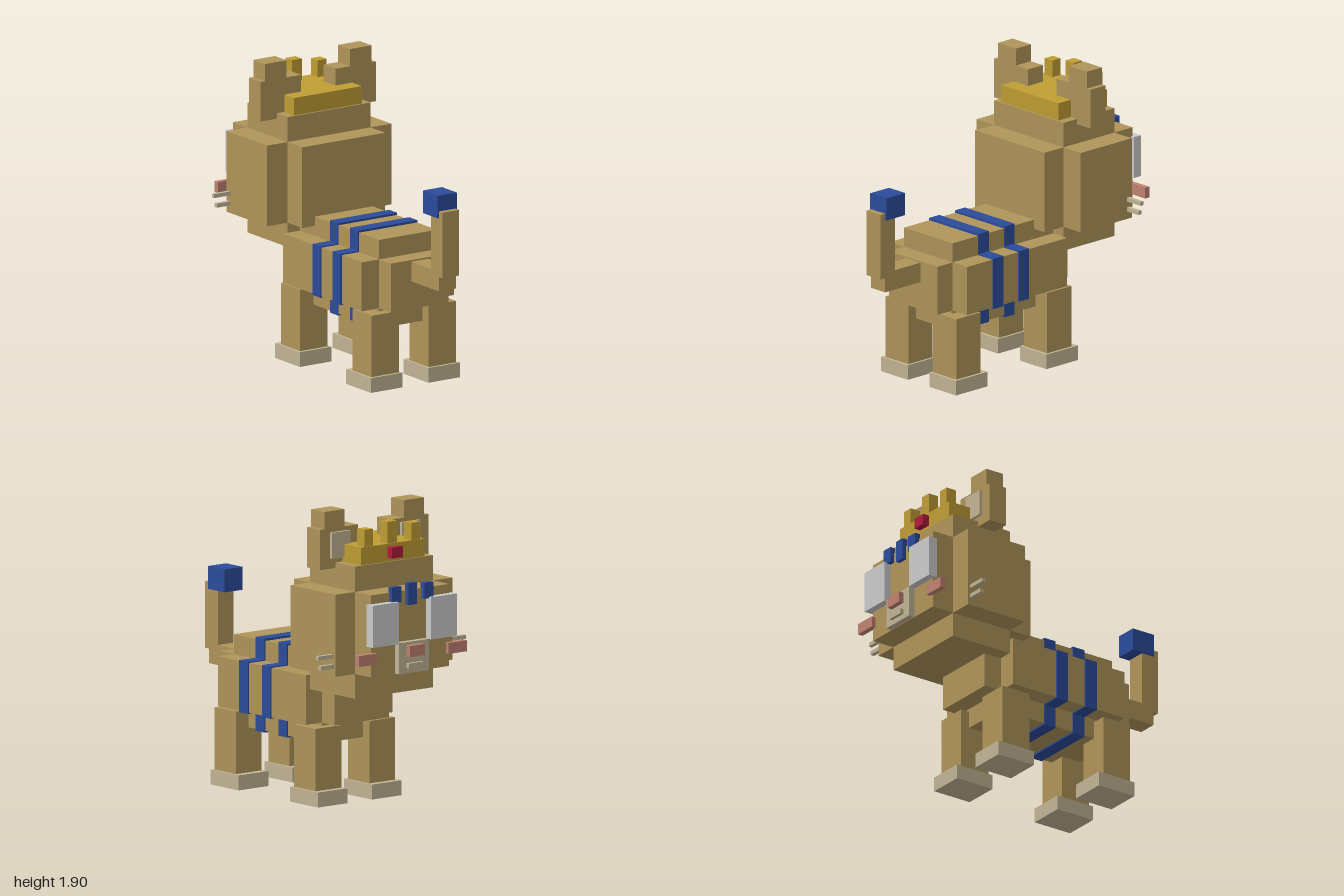
import * as THREE from 'three';

const mat = (name, color) => {
  const m = new THREE.MeshStandardMaterial({ color });
  m.name = name;
  return m;
};

export function createModel() {
  const tan = mat('tan fur', 0xb0955a);
  const beige = mat('beige', 0xc2b596);
  const blue = mat('blue', 0x2b4b9b);
  const gold = mat('gold', 0xc09e34);
  const white = mat('eye white', 0xcccccc);
  const pink = mat('pink', 0xc08272);
  const red = mat('gem red', 0xb01c3c);

  const model = new THREE.Group();
  model.name = 'blockCat';

  // Box given by its [min, max] range on each axis
  const box = (name, material, [x0, x1], [y0, y1], [z0, z1]) => {
    const mesh = new THREE.Mesh(new THREE.BoxGeometry(x1 - x0, y1 - y0, z1 - z0), material);
    mesh.position.set((x0 + x1) / 2, (y0 + y1) / 2, (z0 + z1) / 2);
    mesh.name = name;
    model.add(mesh);
  };
  // Box centred on x = 0
  const mid = (name, material, half, y, z) => box(name, material, [-half, half], y, z);
  // Mirrored pair of boxes
  const pair = (name, material, [x0, x1], y, z) => {
    box(name + 'Left', material, [x0, x1], y, z);
    box(name + 'Right', material, [-x1, -x0], y, z);
  };

  // Body: three crossed blocks
  mid('bodyWide', tan, 0.35, [0.51, 0.825], [-0.33, 0.53]);
  mid('bodyTall', tan, 0.22, [0.38, 0.95], [-0.33, 0.53]);
  mid('bodyLong', tan, 0.22, [0.51, 0.825], [-0.455, 0.66]);

  // Stripes wrapping the body
  for (const z of [[0.003, 0.09], [0.223, 0.312]]) {
    mid('stripeWide', blue, 0.358, [0.503, 0.832], z);
    mid('stripeTall', blue, 0.225, [0.369, 0.964], z);
  }

  // Legs and paws
  pair('frontLeg', tan, [0.113, 0.322], [0.09, 0.49], [-0.392, -0.183]);
  pair('backLeg', tan, [0.113, 0.322], [0.09, 0.49], [0.388, 0.595]);
  pair('frontPaw', beige, [0.098, 0.339], [0, 0.095], [-0.435, -0.162]);
  pair('backPaw', beige, [0.098, 0.339], [0, 0.095], [0.341, 0.614]);

  // Tail
  mid('tailBase', tan, 0.064, [0.688, 0.815], [0.6, 0.962]);
  mid('tailUpright', tan, 0.063, [0.78, 1.203], [0.876, 1]);
  mid('tailTuft', blue, 0.073, [1.16, 1.305], [0.798, 0.96]);

  // Head: three crossed blocks
  mid('headTall', tan, 0.315, [0.733, 1.57], [-0.768, -0.33]);
  mid('headWide', tan, 0.473, [0.89, 1.41], [-0.768, -0.33]);
  mid('headLong', tan, 0.315, [0.89, 1.41], [-0.925, -0.17]);

  // Ears
  pair('ear', tan, [0.13, 0.438], [1.535, 1.79], [-0.576, -0.448]);
  pair('earTip', tan, [0.24, 0.404], [1.79, 1.9], [-0.576, -0.448]);
  pair('innerEar', beige, [0.21, 0.357], [1.6, 1.765], [-0.596, -0.57]);

  // Crown
  mid('crownBase', gold, 0.258, [1.57, 1.682], [-0.758, -0.342]);
  mid('crownSpike', gold, 0.037, [1.68, 1.82], [-0.752, -0.68]);
  pair('crownSideSpike', gold, [0.155, 0.225], [1.68, 1.79], [-0.752, -0.68]);
  mid('crownGem', red, 0.045, [1.594, 1.663], [-0.802, -0.752]);

  // Face
  pair('eye', white, [0.13, 0.34], [1.086, 1.353], [-0.973, -0.912]);
  mid('foreheadMark', blue, 0.035, [1.32, 1.458], [-0.953, -0.917]);
  pair('foreheadSideMark', blue, [0.093, 0.167], [1.345, 1.445], [-0.953, -0.917]);
  mid('muzzle', beige, 0.12, [0.892, 1.09], [-0.965, -0.915]);
  mid('nose', pink, 0.06, [1, 1.07], [-1, -0.96]);
  mid('mouth', beige, 0.06, [0.925, 0.957], [-0.987, -0.96]);
  pair('cheek', pink, [0.29, 0.437], [0.973, 1.043], [-0.953, -0.917]);

  // Whiskers
  pair('upperWhisker', beige, [0.44, 0.597], [1.005, 1.03], [-0.752, -0.726]);
  pair('lowerWhisker', beige, [0.44, 0.577], [0.94, 0.966], [-0.752, -0.726]);

  return model;
}
